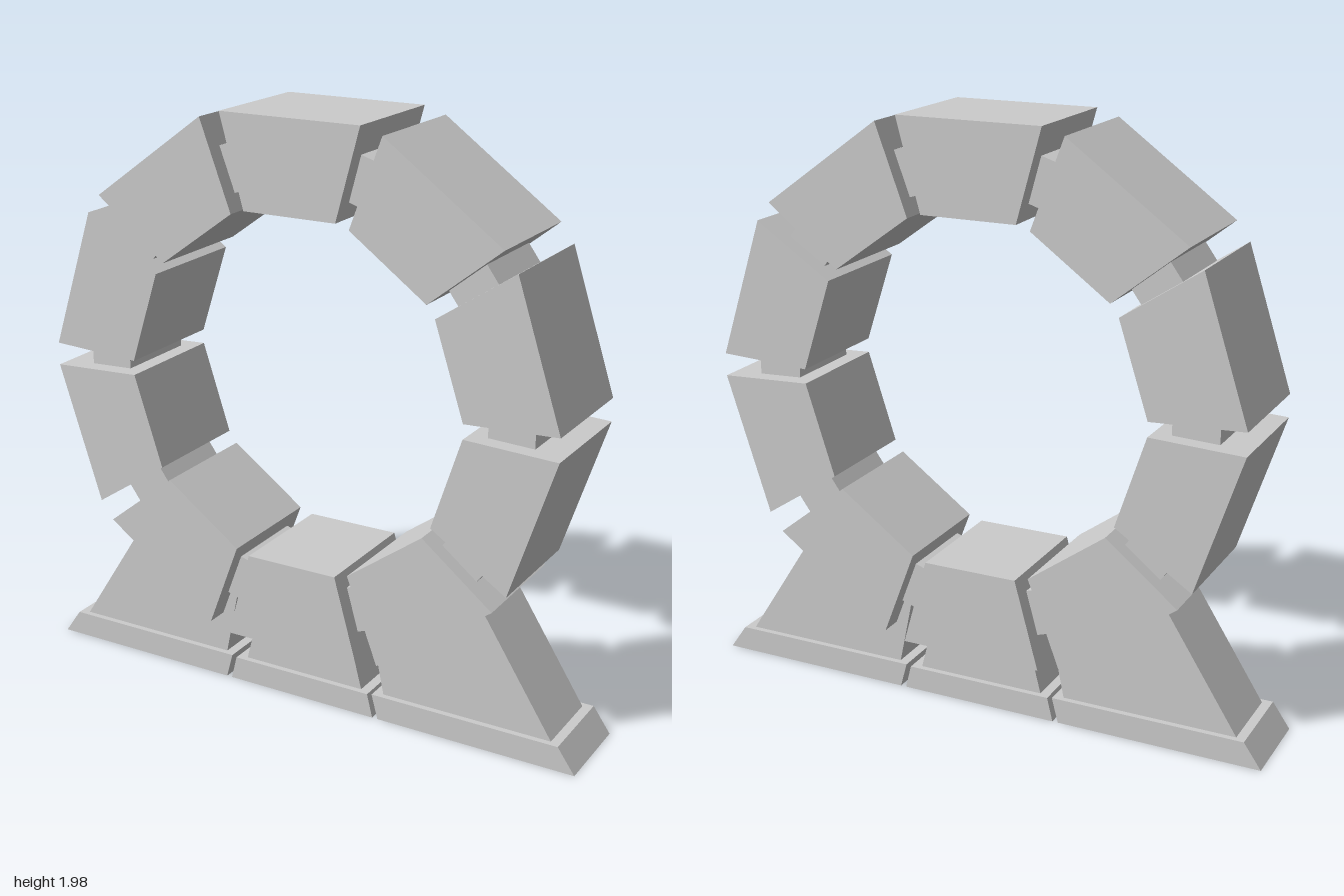
import * as THREE from 'three';

const material = new THREE.MeshStandardMaterial({ color: 0xcccccc, flatShading: true });
const CENTRE_Y = 1.095;
const COUNT = 10;

// Extrudes an outline evenly to both sides of z = 0.
function slab(name, points, halfDepth) {
  const shape = new THREE.Shape(points.map(([x, y]) => new THREE.Vector2(x, y)));
  const geometry = new THREE.ExtrudeGeometry(shape, { depth: halfDepth * 2, bevelEnabled: false });
  geometry.translate(0, 0, -halfDepth);
  const mesh = new THREE.Mesh(geometry, material);
  mesh.name = name;
  return mesh;
}

export function createModel() {
  const model = new THREE.Group();
  model.name = 'stoneRing';

  // Ring of wedge blocks with narrower links in the gaps
  const ring = new THREE.Group();
  ring.name = 'ring';
  ring.position.y = CENTRE_Y;
  const wedge = [[-0.164, 0.585], [0.164, 0.585], [0.248, 0.889], [-0.248, 0.889]];
  const link = [[-0.08, 0.665], [0.08, 0.665], [0.08, 0.82], [-0.08, 0.82]];
  for (let i = 0; i < COUNT; i++) {
    const block = slab('ringBlock', wedge, 0.207);
    block.rotation.z = (i / COUNT) * Math.PI * 2;
    const joint = slab('ringLink', link, 0.15);
    joint.rotation.z = ((i + 0.5) / COUNT) * Math.PI * 2;
    ring.add(block, joint);
  }
  model.add(ring);

  // Central foot under the lowest block
  model.add(
    slab('centrePlinth', [[-0.278, 0], [0.278, 0], [0.258, 0.082], [-0.258, 0.082]], 0.15),
    slab('centreSupport', [[-0.225, 0.08], [0.225, 0.08], [0.19, 0.215], [-0.19, 0.215]], 0.13),
  );

  // Sloping buttresses on both sides, mirrored
  const plinth = [[0.298, 0], [1, 0], [0.94, 0.086], [0.275, 0.086]];
  const buttress = [[0.31, 0.08], [0.912, 0.08], [0.66, 0.475], [0.4, 0.4], [0.262, 0.315]];
  for (const side of [1, -1]) {
    const mirror = (points) => points.map(([x, y]) => [x * side, y]);
    const label = side > 0 ? 'left' : 'right';
    model.add(
      slab(label + 'Plinth', mirror(plinth), 0.15),
      slab(label + 'Buttress', mirror(buttress), 0.13),
    );
  }
  return model;
}
